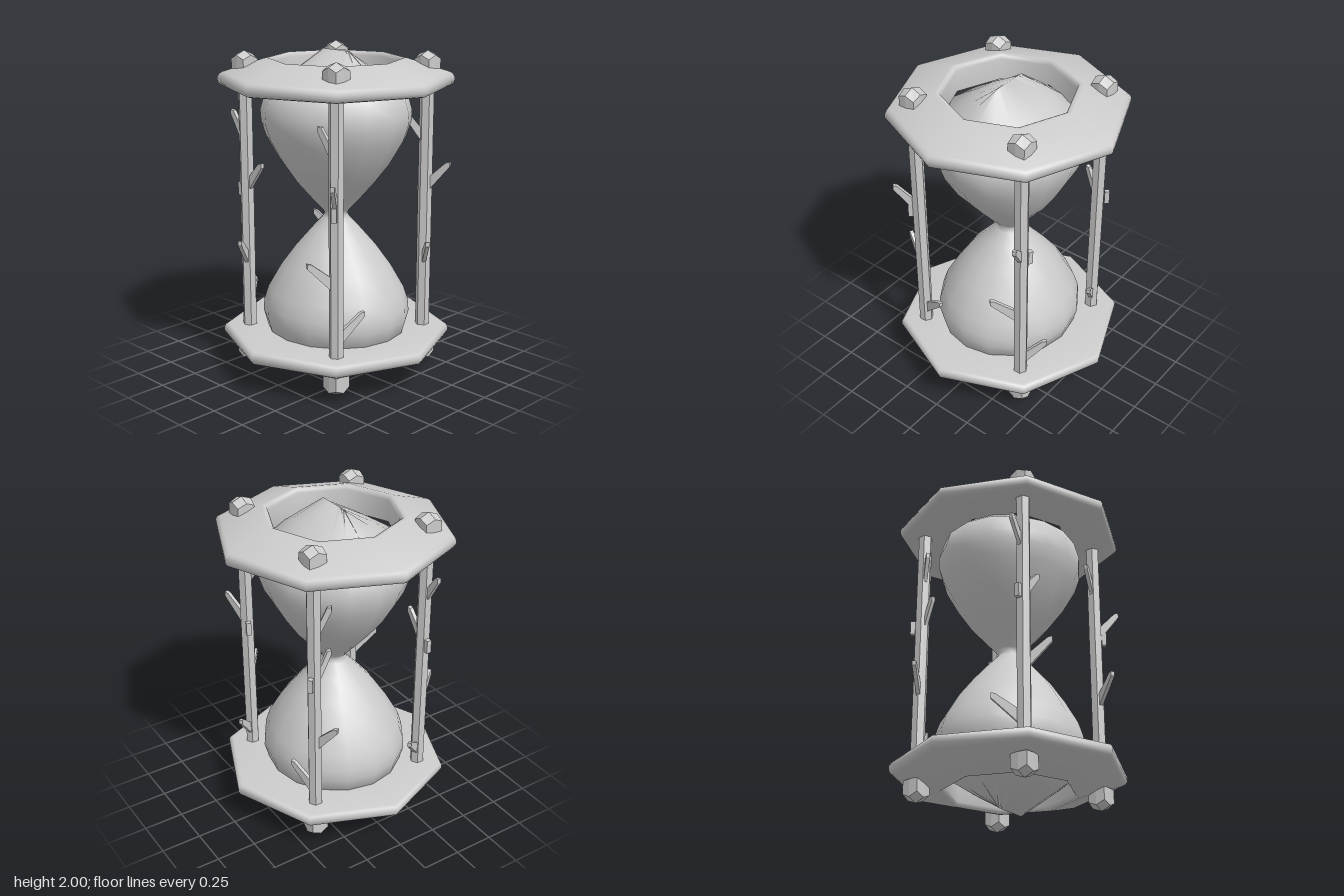
import * as THREE from 'three';
import { toCreasedNormals } from 'three/addons/utils/BufferGeometryUtils.js';

const smooth = new THREE.MeshStandardMaterial({ color: 0xcccccc });
const flat = new THREE.MeshStandardMaterial({ color: 0xcccccc, flatShading: true });

function add(parent, name, geometry, material = smooth) {
  const mesh = new THREE.Mesh(geometry, material);
  mesh.name = name;
  parent.add(mesh);
  return mesh;
}

const toPoints = (list) => list.map(([r, y]) => new THREE.Vector2(r, y));

// Octagonal ring plate with rounded rim, sloping up to the central hole
function plateGeometry() {
  const profile = toPoints([
    [0.4, 1.79], [0.68, 1.79], [0.7, 1.797], [0.71, 1.815], [0.71, 1.838], [0.7, 1.858],
    [0.68, 1.87], [0.43, 1.95], [0.41, 1.953], [0.397, 1.945], [0.39, 1.925], [0.39, 1.79], [0.4, 1.79],
  ]);
  return toCreasedNormals(new THREE.LatheGeometry(profile, 8), 0.9);
}

// Two bulbs joined at a narrow neck; each end closes in a short ridge along x
function glassGeometry() {
  const half = [
    [0.07, 0], [0.085, 0.025], [0.15, 0.095], [0.25, 0.21], [0.35, 0.335],
    [0.435, 0.48], [0.465, 0.57], [0.47, 0.64], [0.44, 0.745], [0.275, 0.875], [0.11, 1],
  ];
  const lower = half.slice(1).reverse().map(([r, d]) => [r, 1 - d]);
  const upper = half.map(([r, d]) => [r, 1 + d]);
  const geometry = new THREE.LatheGeometry(toPoints([...lower, ...upper]), 16);
  const p = geometry.attributes.position;
  for (let i = 0; i < p.count; i++) {
    const d = Math.abs(p.getY(i) - 1);
    const squash = d > 0.99 ? 0 : d > 0.8 ? 0.8 : d > 0.3 ? 0.95 : 1;
    p.setZ(i, p.getZ(i) * squash);
  }
  return toCreasedNormals(geometry, 1.2);
}

// Post end block: a cube with trimmed corners and a low peak on its outer end
function capGeometry() {
  const geometry = new THREE.BoxGeometry(0.122, 0.13, 0.122, 2, 2, 2);
  const p = geometry.attributes.position;
  for (let i = 0; i < p.count; i++) {
    const x = p.getX(i), y = p.getY(i), z = p.getZ(i);
    if (y > 0.06) p.setY(i, y - 0.4 * (Math.abs(x) + Math.abs(z)));
    if (Math.abs(x) > 0.05 && Math.abs(z) > 0.05) {
      p.setX(i, x * 0.9);
      p.setZ(i, z * 0.9);
    }
  }
  return geometry;
}

// Thin upward blade growing from a post axis towards (dx, dz)
function addThorn(post, dx, dz, tipY) {
  const reach = Math.hypot(dx, dz);
  const shape = new THREE.Shape(toPoints([
    [0, -0.22], [0.04, -0.17], [reach, -0.03], [reach, 0], [reach - 0.025, -0.005], [0.04, -0.09], [0, -0.11],
  ]));
  const blade = new THREE.ExtrudeGeometry(shape, { depth: 0.024, bevelEnabled: false });
  blade.translate(0, 0, -0.012);
  const mesh = add(post, 'thorn', blade, flat);
  mesh.position.y = tipY;
  mesh.rotation.y = Math.atan2(-dz, dx);
}

// Post corners; thorn directions run from the top of the post to the bottom
const tipHeights = [1.63, 1.33, 0.86, 0.52];
const posts = [
  { name: 'frontLeftPost', sx: 1, sz: 1, stub: [0.03, 0.045],
    thorns: [[-0.12, 0.02], [0.09, 0.12], [-0.075, 0.16], [0.05, -0.18]] },
  { name: 'backLeftPost', sx: 1, sz: -1, stub: [-0.052, -0.02],
    thorns: [[-0.09, 0.1], [0.145, -0.06], [0.135, 0.125], [-0.09, -0.13]] },
  { name: 'backRightPost', sx: -1, sz: -1, stub: [-0.035, -0.045],
    thorns: [[-0.06, 0.08], [-0.02, 0.1], [-0.14, 0.07], [0.15, -0.07]] },
  { name: 'frontRightPost', sx: -1, sz: 1, stub: [-0.052, 0],
    thorns: [[-0.125, 0], [0.145, 0], [0.085, 0.14], [-0.11, -0.15]] },
];

export function createModel() {
  const model = new THREE.Group();
  model.name = 'hourglass';

  add(model, 'glassBulbs', glassGeometry());

  // Matching plates at both ends
  add(model, 'topPlate', plateGeometry());
  const bottom = add(model, 'bottomPlate', plateGeometry());
  bottom.rotation.x = Math.PI;
  bottom.position.y = 2.06;

  // Thorny hexagonal posts with a block at each end
  for (const { name, sx, sz, stub, thorns } of posts) {
    const post = new THREE.Group();
    post.name = name;
    post.position.set(0.386 * sx, 0, 0.386 * sz);
    model.add(post);

    const shaft = add(post, 'shaft', new THREE.CylinderGeometry(0.044, 0.044, 1.76, 6), flat);
    shaft.position.y = 1.02;

    const topCap = add(post, 'topCap', capGeometry(), flat);
    topCap.position.y = 1.932;
    const bottomCap = add(post, 'bottomCap', capGeometry(), flat);
    bottomCap.rotation.x = Math.PI;
    bottomCap.position.y = 0.095;

    thorns.forEach(([dx, dz], i) => addThorn(post, dx, dz, tipHeights[i]));

    const knot = add(post, 'brokenThorn', new THREE.BoxGeometry(0.03, 0.085, 0.03), flat);
    knot.position.set(stub[0], 1.145, stub[1]);
    knot.rotation.y = Math.atan2(-stub[1], stub[0]);
  }

  // Lower plate and its blocks sit mirrored about mid height
  bottom.position.y = 2.06;
  return model;
}
